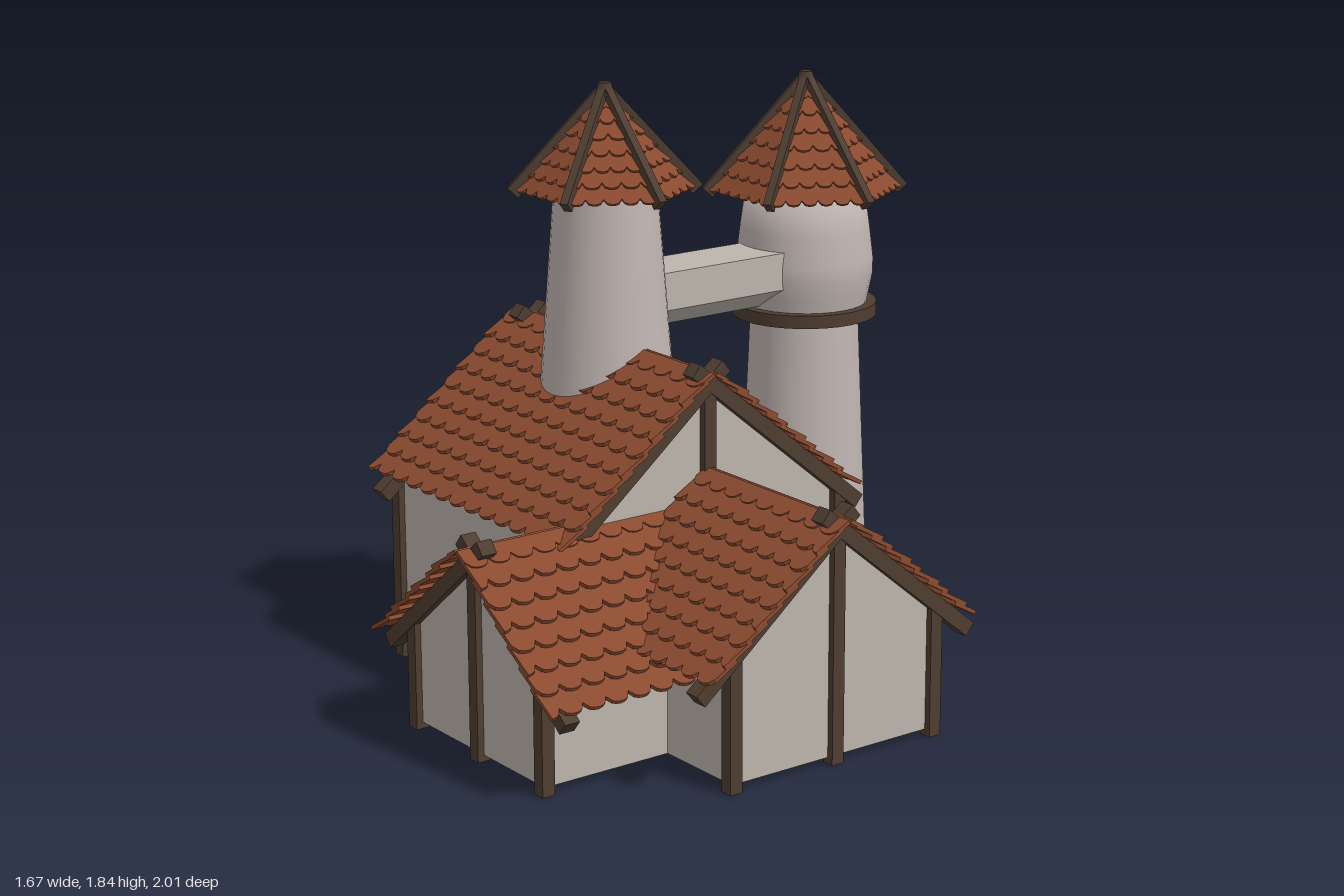
import * as THREE from 'three';
import { mergeGeometries } from 'three/addons/utils/BufferGeometryUtils.js';

const mat = (name, color) => Object.assign(new THREE.MeshStandardMaterial({ color }), { name });
const plaster = mat('plaster', 0xbdb5ad);
const stone = mat('tower stone', 0xc0b5b1);
const tile = mat('clay tile', 0x8a4a2f);
const wood = mat('dark timber', 0x4e3d31);

function mesh(name, geometry, material, parent, x = 0, y = 0, z = 0) {
  const m = new THREE.Mesh(geometry, material);
  m.name = name;
  m.position.set(x, y, z);
  parent.add(m);
  return m;
}

function group(name, parent) {
  const g = new THREE.Group();
  g.name = name;
  parent.add(g);
  return g;
}

// One overlapping course of round-ended tiles, hanging down from y = 0
function tileRow(wTop, wBottom, length, pitch, shift, thick) {
  const shape = new THREE.Shape();
  const steps = Math.max(2, Math.round(wBottom / pitch)) * 6;
  const p = (wBottom / steps) * 6, lobe = p * 0.36;
  shape.moveTo(wTop / 2, 0);
  shape.lineTo(-wTop / 2, 0);
  for (let i = 0; i <= steps; i++) {
    const u = (((i + shift * 3) % 6) / 6) * 2 - 1;
    shape.lineTo(-wBottom / 2 + (wBottom * i) / steps,
      -length + lobe * (1 - Math.sqrt(1 - u * u)));
  }
  return new THREE.ExtrudeGeometry(shape, { depth: thick, bevelEnabled: false });
}

// Courses of tiles over one slope; width is given at a distance from the top
function tileSlope(length, rows, pitch, thick, widthAt) {
  const step = length / rows, parts = [];
  for (let i = 0; i < rows; i++) {
    const top = Math.max(0, (i - 0.6) * step), bottom = (i + 1) * step;
    const g = tileRow(widthAt(top), widthAt(bottom), bottom - top, pitch, i % 2, thick);
    g.rotateX(-thick / step);
    g.translate(0, -top, 0);
    parts.push(g);
  }
  return mergeGeometries(parts);
}

// Pitched group: local -y runs down the slope, local z is the slope normal
function pitched(name, parent, angle, turn, y) {
  const pivot = group(name, parent);
  pivot.rotation.y = turn;
  pivot.position.y = y;
  const slope = group(name + 'Slope', pivot);
  slope.rotation.x = angle - Math.PI / 2;
  return slope;
}

// Gabled house, ridge along x; ends lists the gable ends that carry timber
function house(parent, name, { x0, x1, roof0, roof1, wallHalf, roofHalf, beamHalf, ridge, rows, ends }) {
  const g = group(name, parent);
  const pitch = 0.82, angle = Math.atan(pitch), cos = Math.cos(angle);
  const apex = ridge - 0.02, eave = apex - wallHalf * pitch;

  const profile = new THREE.Shape();
  profile.moveTo(-wallHalf, 0.02);
  profile.lineTo(wallHalf, 0.02);
  profile.lineTo(wallHalf, eave);
  profile.lineTo(0, apex);
  profile.lineTo(-wallHalf, eave);
  const walls = new THREE.ExtrudeGeometry(profile, { depth: x1 - x0, bevelEnabled: false });
  walls.rotateY(Math.PI / 2);
  mesh('walls', walls, plaster, g, x0);

  for (const turn of [0, Math.PI]) {
    const slope = pitched('roof', g, angle, turn, ridge);
    const side = turn ? -1 : 1, width = roof1 - roof0;
    mesh('roofTiles', tileSlope(roofHalf / cos, rows, 0.078, 0.012, () => width),
      tile, slope, (side * (roof0 + roof1)) / 2);
    const low = beamHalf / cos, poke = 0.055;
    for (const x of ends) {
      mesh('gableBeam', new THREE.BoxGeometry(0.05, low + poke, 0.046), wood, slope,
        side * x, (poke - low) / 2, -0.02);
    }
  }
  for (const x of ends) {
    for (const z of [-wallHalf, 0, wallHalf]) {
      const top = z ? eave : apex - 0.02;
      mesh('post', new THREE.BoxGeometry(0.042, top, 0.042), wood, g, x, top / 2, z);
    }
  }
  return g;
}

// Six-sided tiled tower roof with timber hips
function towerRoof(parent, { apothem, hipRadius, apex, eave, rows }) {
  const g = group('towerRoof', parent);
  const h = apex - eave, length = Math.hypot(apothem, h);
  const hip = Math.hypot(hipRadius, h), spread = (2 * apothem * Math.tan(Math.PI / 6)) / length;
  const tiles = tileSlope(length, rows, 0.052, 0.009, d => d * spread + 0.008);
  const rafter = new THREE.BoxGeometry(0.026, hip, 0.042);
  for (let k = 0; k < 6; k++) {
    const turn = (k * Math.PI) / 3;
    mesh('towerTiles', tiles, tile, pitched('face', g, Math.atan2(h, apothem), turn, apex));
    mesh('hipRafter', rafter, wood,
      pitched('hip', g, Math.atan2(h, hipRadius), turn + Math.PI / 6, apex), 0, -hip / 2, 0.013);
  }
  mesh('finial', new THREE.CylinderGeometry(0.022, 0.034, 0.04, 6), wood, g, 0, apex + 0.02, 0);
}

export function createModel() {
  const model = new THREE.Group();
  model.name = 'tiledFarmhouse';

  // Three joined houses
  const main = house(model, 'mainHouse', {
    x0: -0.75, x1: 0.16, roof0: -0.84, roof1: 0.21, wallHalf: 0.5,
    roofHalf: 0.55, beamHalf: 0.585, ridge: 1.035, rows: 10, ends: [-0.755, 0.165],
  });
  main.position.z = 0.13;
  const wing = house(model, 'sideWing', {
    x0: 0.16, x1: 0.77, roof0: 0.17, roof1: 0.835, wallHalf: 0.37,
    roofHalf: 0.485, beamHalf: 0.51, ridge: 0.74, rows: 9, ends: [0.77],
  });
  wing.position.z = 0.13;
  const porch = house(model, 'frontWing', {
    x0: 0.5, x1: 0.93, roof0: 0.22, roof1: 1.0, wallHalf: 0.33,
    roofHalf: 0.46, beamHalf: 0.47, ridge: 0.64, rows: 8, ends: [0.93],
  });
  porch.rotation.y = -Math.PI / 2;
  porch.position.x = 0.135;

  // Tower rising through the main roof
  const frontTower = group('roofTower', model);
  frontTower.position.set(-0.335, 0, 0.135);
  mesh('towerWall', new THREE.CylinderGeometry(0.157, 0.212, 0.72, 32), stone, frontTower, 0, 1.18, 0);
  towerRoof(frontTower, { apothem: 0.228, hipRadius: 0.272, apex: 1.795, eave: 1.495, rows: 7 });

  // Free-standing tower with a bulging upper storey
  const backTower = group('backTower', model);
  backTower.position.set(-0.43, 0, -0.72);
  mesh('towerWall', new THREE.CylinderGeometry(0.175, 0.217, 0.98, 32), stone, backTower, 0, 0.51, 0);
  mesh('towerRing', new THREE.CylinderGeometry(0.235, 0.235, 0.042, 32), wood, backTower, 0, 1.0, 0);
  const upper = [[0.198, 1.0], [0.21, 1.06], [0.222, 1.12], [0.222, 1.17], [0.21, 1.27], [0.19, 1.41], [0, 1.41]];
  mesh('upperStorey', new THREE.LatheGeometry(upper.map(p => new THREE.Vector2(...p)), 32), stone, backTower);
  towerRoof(backTower, { apothem: 0.262, hipRadius: 0.307, apex: 1.73, eave: 1.375, rows: 7 });

  // Bridge between the towers, with a keeled underside
  const section = new THREE.Shape([[-0.1, 1.22], [-0.1, 1.1], [0, 1.03], [0.1, 1.1], [0.1, 1.22]]
    .map(p => new THREE.Vector2(...p)));
  mesh('bridge', new THREE.ExtrudeGeometry(section, { depth: 0.57, bevelEnabled: false }),
    plaster, model, -0.41, 0, -0.56);

  return model;
}
